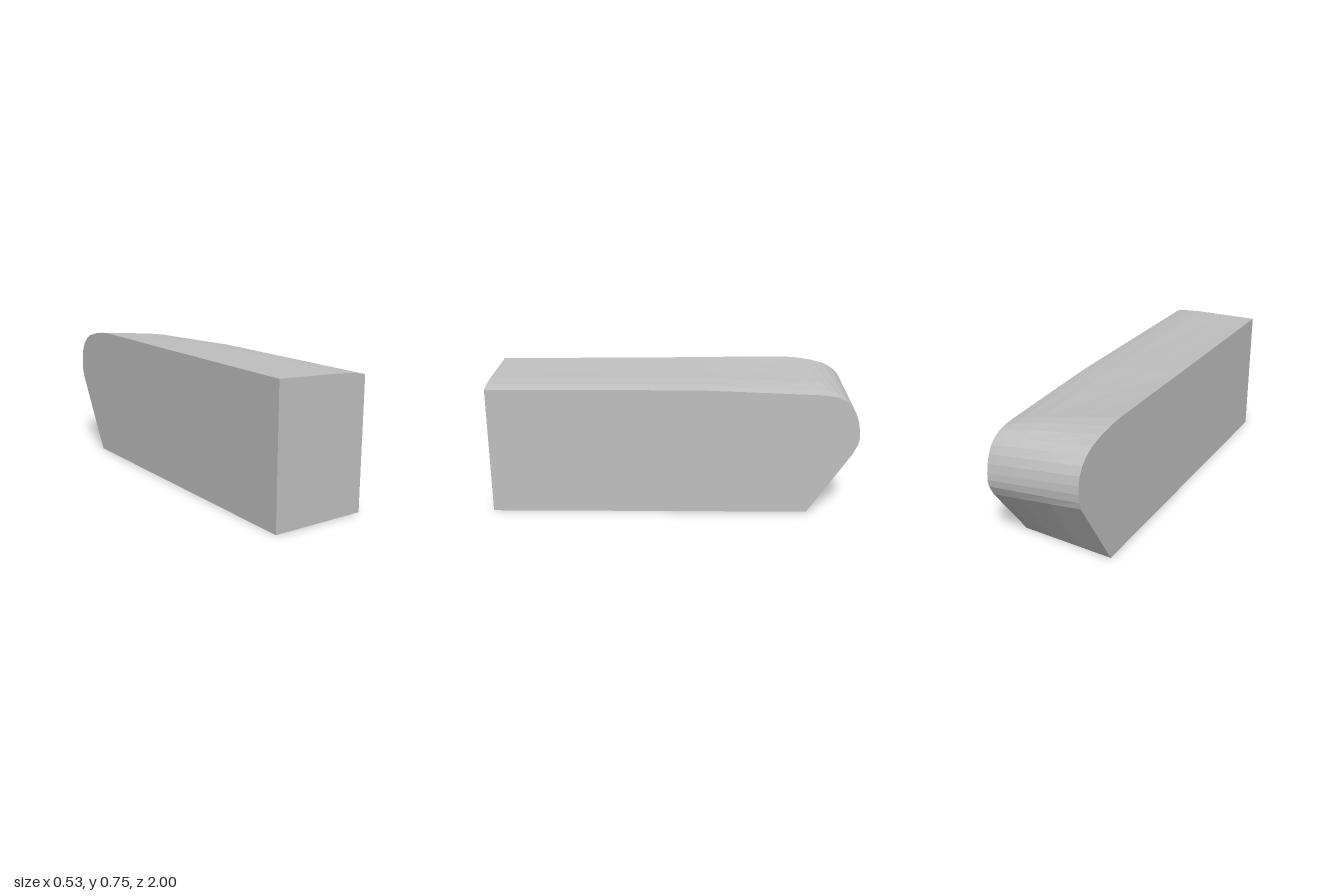
import * as THREE from 'three';

// Matching side outlines as [z, y], from front bottom, over the top, to rear bottom
const rightOutline = [
  [1, 0], [1, 0.735], [0, 0.743], [-0.3, 0.747], [-0.63, 0.75], [-0.71, 0.745], [-0.79, 0.733],
  [-0.87, 0.712], [-0.92, 0.685], [-0.957, 0.65], [-0.98, 0.61], [-0.992, 0.565],
  [-0.996, 0.52], [-0.992, 0.475], [-0.982, 0.435], [-0.735, 0],
];
const leftOutline = [
  [1, 0], [1, 0.7], [-0.13, 0.7], [-0.45, 0.688], [-0.78, 0.675], [-0.84, 0.669], [-0.88, 0.659],
  [-0.92, 0.638], [-0.95, 0.61], [-0.972, 0.57], [-0.988, 0.525], [-0.997, 0.475],
  [-1, 0.44], [-0.994, 0.4], [-0.965, 0.34], [-0.735, 0],
];

// Stations across the width: x and how far the top swells above a straight line
const half = 0.265;
const stations = [[-half, 0], [-0.08, 0.005], [0.11, 0.01], [0.21, 0.007], [half, 0]];

function createBodyGeometry() {
  const n = rightOutline.length;
  const sections = stations.map(([x, swell]) => {
    const t = (x + half) / (2 * half);
    return rightOutline.map(([z, y], j) => {
      const [z2, y2] = leftOutline[j];
      const lift = j >= 1 && j <= 9 ? swell * (j < 6 ? 1 : (10 - j) / 5) : 0;
      return [x, y + (y2 - y) * t + lift, z + (z2 - z) * t];
    });
  });

  const positions = [];
  const tri = (a, b, c) => positions.push(...a, ...b, ...c);

  // Skin between neighbouring sections, including the underside
  for (let i = 0; i < sections.length - 1; i++) {
    const p = sections[i], q = sections[i + 1];
    for (let j = 0; j < n; j++) {
      const k = (j + 1) % n;
      tri(p[j], q[j], q[k]);
      tri(p[j], q[k], p[k]);
    }
  }

  // Flat side faces
  const right = sections[0], left = sections[sections.length - 1];
  for (let j = 1; j < n - 1; j++) {
    tri(right[0], right[j], right[j + 1]);
    tri(left[0], left[j + 1], left[j]);
  }

  const geometry = new THREE.BufferGeometry();
  geometry.setAttribute('position', new THREE.Float32BufferAttribute(positions, 3));
  geometry.computeVertexNormals();
  return geometry;
}

export function createModel() {
  const group = new THREE.Group();
  group.name = 'roundedBlock';

  const grey = new THREE.MeshStandardMaterial({ color: 0xc0c0c0, flatShading: true });
  grey.name = 'light grey';

  const body = new THREE.Mesh(createBodyGeometry(), grey);
  body.name = 'body';
  group.add(body);
  return group;
}
